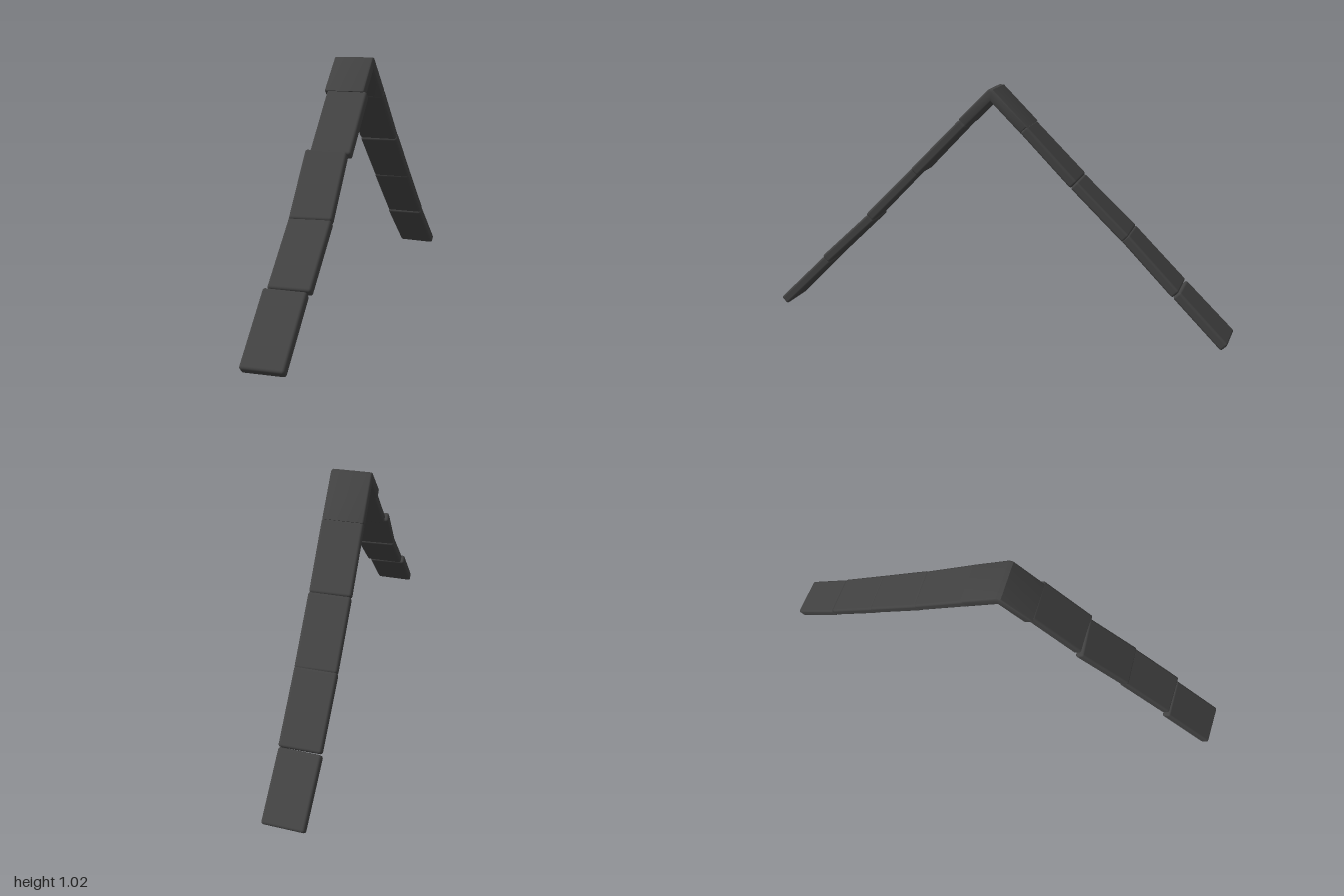
import * as THREE from 'three';
import { RoundedBoxGeometry } from 'three/addons/geometries/RoundedBoxGeometry.js';
import { toCreasedNormals } from 'three/addons/utils/BufferGeometryUtils.js';

const THICK = 0.04;
const WIDTH = 0.168;

// Slab whose centre line runs from the upper end to the lower end, each [x, y, z]
function slab(upper, lower, material) {
  const a = new THREE.Vector3(...upper);
  const b = new THREE.Vector3(...lower);
  const dir = b.clone().sub(a);
  const geo = new RoundedBoxGeometry(WIDTH, THICK, dir.length(), 3, 0.01);
  // slight hollow and twist so the slabs look hand cut
  const p = geo.attributes.position;
  for (let i = 0; i < p.count; i++) {
    const u = p.getX(i) / WIDTH, v = p.getZ(i) / dir.length();
    p.setY(i, p.getY(i) + 0.006 * u * v);
  }
  dir.normalize();
  const side = new THREE.Vector3(0, 1, 0).cross(dir).normalize();
  const normal = dir.clone().cross(side);
  geo.applyMatrix4(new THREE.Matrix4().makeBasis(side, normal, dir));
  const mesh = new THREE.Mesh(geo, material);
  mesh.position.copy(a.add(b).multiplyScalar(0.5));
  return mesh;
}

export function createModel() {
  const group = new THREE.Group();
  const stone = new THREE.MeshStandardMaterial({ color: 0x424242 });

  // Bent ridge cap: chevron profile drawn in (z, y), extruded across x
  const bevel = 0.008;
  const profile = new THREE.Shape([
    [0.126, 0.896], [0.006, 1.016], [-0.006, 1.016], [-0.144, 0.88],
    [-0.126, 0.862], [0, 0.986], [0.108, 0.878],
  ].map(([z, y]) => new THREE.Vector2(z, y)));
  const depth = WIDTH - 2 * bevel;
  const capGeo = new THREE.ExtrudeGeometry(profile, {
    depth, bevelEnabled: true, bevelSize: bevel, bevelThickness: bevel, bevelSegments: 3,
  });
  capGeo.translate(0, 0, -depth / 2).rotateY(-Math.PI / 2);
  const cap = new THREE.Mesh(toCreasedNormals(capGeo, 0.7), stone);
  cap.name = 'ridgeCap';
  cap.position.x = -0.008;
  group.add(cap);

  // Upper and lower centres of each slab, from the ridge downwards
  const slopes = {
    frontSlab: [
      [[0.004, 0.884, 0.118], [0.006, 0.661, 0.333]],
      [[-0.01, 0.673, 0.33], [0.005, 0.446, 0.55]],
      [[0.003, 0.448, 0.54], [0.005, 0.236, 0.764]],
      [[-0.009, 0.235, 0.762], [-0.007, 0.014, 0.986]],
    ],
    backSlab: [
      [[-0.007, 0.868, -0.136], [-0.008, 0.654, -0.35]],
      [[-0.007, 0.654, -0.348], [-0.007, 0.447, -0.568]],
      [[-0.008, 0.451, -0.564], [-0.001, 0.235, -0.78]],
      [[-0.004, 0.233, -0.782], [0.009, 0.036, -0.986]],
    ],
  };
  for (const [name, slabs] of Object.entries(slopes)) {
    slabs.forEach(([upper, lower], i) => {
      const mesh = slab(upper, lower, stone);
      mesh.name = `${name}${i + 1}`;
      group.add(mesh);
    });
  }
  return group;
}
